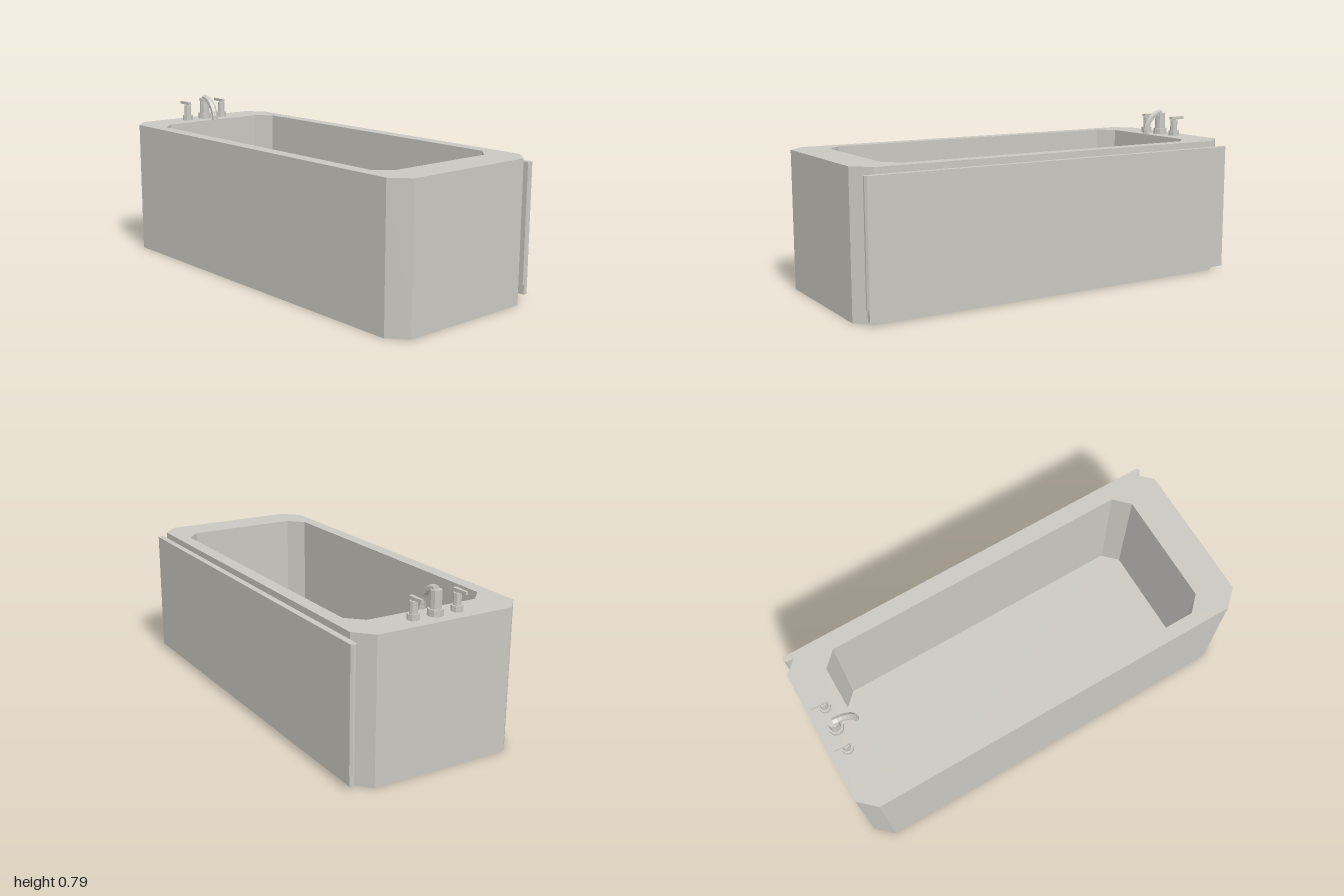
import * as THREE from 'three';

const enamel = new THREE.MeshStandardMaterial({ color: 0xc9c7c0, flatShading: true });
enamel.name = 'light grey enamel';

function add(parent, name, geometry, x = 0, y = 0, z = 0) {
  const mesh = new THREE.Mesh(geometry, enamel);
  mesh.name = name;
  mesh.position.set(x, y, z);
  parent.add(mesh);
  return mesh;
}

// Corner points of a rectangle with chamfered corners
function chamferedPoints(hx, hz, cx, cz) {
  return [
    [hx, -hz + cz], [hx, hz - cz], [hx - cx, hz], [-hx + cx, hz],
    [-hx, hz - cz], [-hx, -hz + cz], [-hx + cx, -hz], [hx - cx, -hz],
  ].map(([x, z]) => new THREE.Vector2(x, z));
}

// Extrude a plan outline upward from y = 0
function upright(shape, height) {
  return new THREE.ExtrudeGeometry(shape, { depth: height, bevelEnabled: false }).rotateX(-Math.PI / 2);
}

function stackedPost(parent, steps) {
  let y = 0;
  for (const [name, radius, height] of steps) {
    add(parent, name, new THREE.CylinderGeometry(radius, radius, height, 8), 0, y + height / 2, 0);
    y += height;
  }
}

export function createModel() {
  const model = new THREE.Group();
  model.name = 'bathtub';
  const midZ = 0.015, rimY = 0.66, floorY = 0.02, tapX = -0.918;

  // Tub walls with a chamfered basin, and the floor
  const outer = chamferedPoints(1, 0.41, 0.08, 0.075);
  const walls = new THREE.Shape(outer);
  walls.holes.push(new THREE.Path(chamferedPoints(0.83, 0.345, 0.07, 0.07)));
  add(model, 'tubWalls', upright(walls, rimY - floorY), 0, floorY, midZ);
  add(model, 'tubFloor', upright(new THREE.Shape(outer), floorY), 0, 0, midZ);

  // Back panel with softened ends, on a slightly recessed foot strip
  const panel = new THREE.Shape(chamferedPoints(0.977, 0.015, 0.008, 0.01));
  add(model, 'backPanel', upright(panel, 0.56), -0.003, 0.07, -0.41);
  add(model, 'panelFoot', new THREE.BoxGeometry(1.94, 0.05, 0.021), -0.003, 0.047, -0.4135);

  // Two tap handles with levers pointing to the tub's end
  for (const side of [-1, 1]) {
    const tap = new THREE.Group();
    tap.name = side > 0 ? 'frontTap' : 'backTap';
    tap.position.set(tapX, rimY, midZ + side * 0.11);
    stackedPost(tap, [['tapBase', 0.027, 0.026], ['tapBody', 0.018, 0.053], ['tapStem', 0.01, 0.01]]);
    const lever = new THREE.Shape([
      [0.022, -0.009], [0.022, 0.009], [-0.012, 0.009], [-0.06, 0.005], [-0.06, -0.005], [-0.012, -0.009],
    ].map(([x, z]) => new THREE.Vector2(x, z)));
    add(tap, 'tapLever', upright(lever, 0.014), 0, 0.083, 0);
    model.add(tap);
  }

  // Central spout curving over the basin
  const faucet = new THREE.Group();
  faucet.name = 'faucet';
  faucet.position.set(tapX, rimY, midZ);
  stackedPost(faucet, [['faucetBase', 0.035, 0.03], ['faucetBody', 0.026, 0.08]]);
  const spout = new THREE.TorusGeometry(0.112, 0.017, 6, 8, Math.PI / 2).scale(0.86, 1, 1);
  add(faucet, 'spout', spout);
  const cap = new THREE.CircleGeometry(0.017, 6);
  add(faucet, 'spoutMouth', cap.clone().rotateX(Math.PI / 2).scale(0.86, 1, 1), 0.0963, 0, 0);
  add(faucet, 'spoutRoot', cap.rotateZ(Math.PI / 2).rotateY(-Math.PI / 2), 0, 0.112, 0);
  model.add(faucet);

  return model;
}
